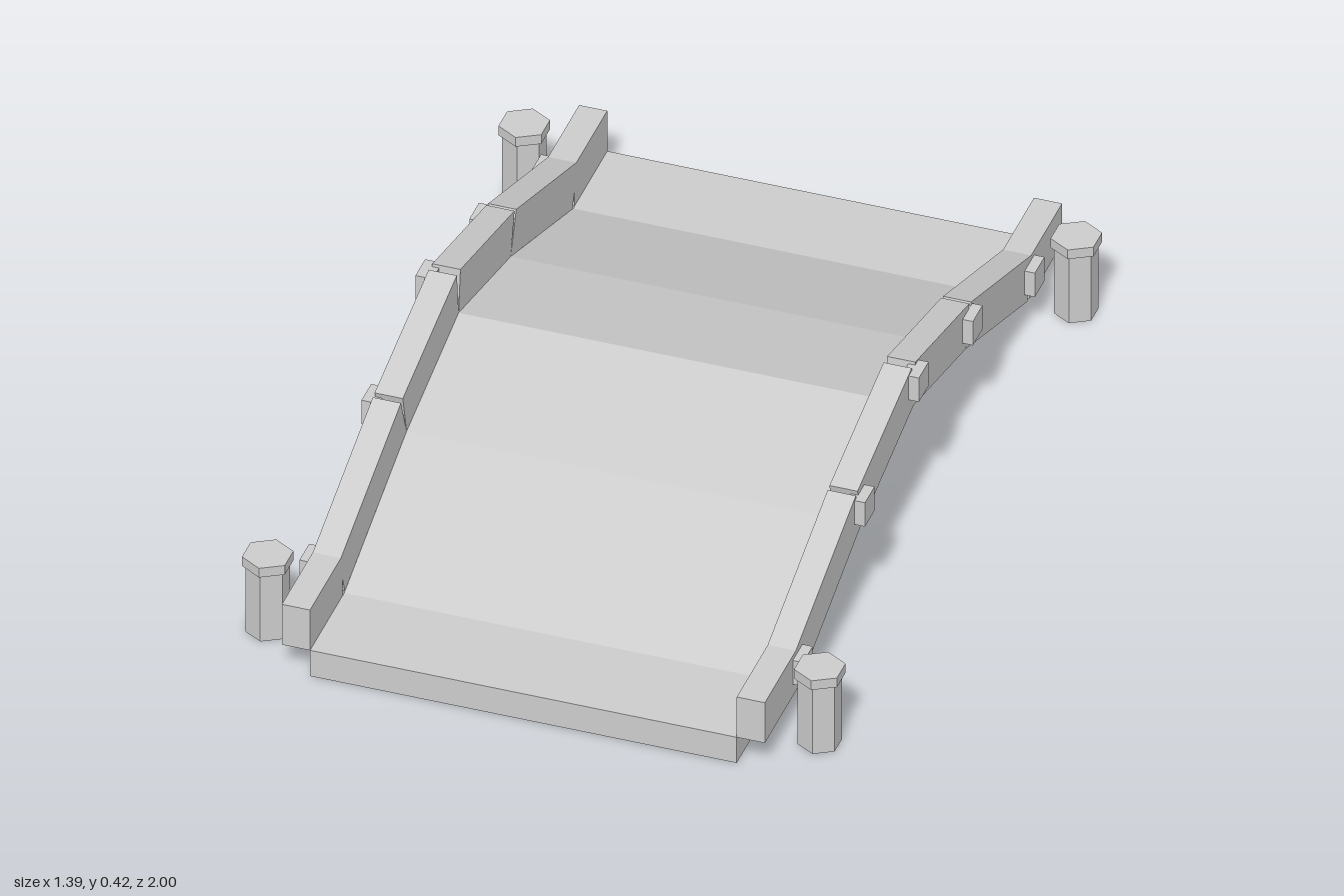
import * as THREE from 'three';

const stone = new THREE.MeshStandardMaterial({ color: 0xcccccc });
stone.name = 'light grey';

// Extrudes a [z, y] outline across x, from x - width / 2 to x + width / 2
function slab(name, outline, width, x) {
  const shape = new THREE.Shape(outline.map(([z, y]) => new THREE.Vector2(z, y)));
  const geometry = new THREE.ExtrudeGeometry(shape, { depth: width, bevelEnabled: false });
  geometry.translate(0, 0, -width / 2);
  geometry.rotateY(-Math.PI / 2);
  const mesh = new THREE.Mesh(geometry, stone);
  mesh.name = name;
  mesh.position.x = x;
  return mesh;
}

const flipZ = (points) => points.map(([z, y]) => [-z, y]).reverse();

// Hexagonal post with a wider cap
function makePost(x, z) {
  const post = new THREE.Group();
  post.name = 'post';
  const shaft = new THREE.Mesh(new THREE.CylinderGeometry(0.05, 0.05, 0.18, 6).toNonIndexed(), stone);
  shaft.name = 'postShaft';
  shaft.position.y = 0.09;
  const cap = new THREE.Mesh(new THREE.CylinderGeometry(0.058, 0.058, 0.025, 6).toNonIndexed(), stone);
  cap.name = 'postCap';
  cap.position.y = 0.1925;
  for (const part of [shaft, cap]) part.geometry.computeVertexNormals();
  post.add(shaft, cap);
  post.position.set(x, 0, z);
  return post;
}

export function createModel() {
  const bridge = new THREE.Group();
  bridge.name = 'bridge';

  // Arched deck
  const top = [[1, 0.07], [0.77, 0.07], [0.35, 0.225]];
  const bottom = [[0, 0.25], [0.365, 0.155], [0.785, 0], [1, 0]];
  bridge.add(slab('deck', [
    ...top, [0, 0.31], ...flipZ(top), ...flipZ(bottom), ...bottom.slice(1),
  ], 1, 0));

  // Straight rail pieces with square ends, leaving small notches at the joints
  const railPieces = [
    [[1, 0.07], [1, 0.18], [0.78, 0.18], [0.78, 0.07]],
    [[0.765, 0.072], [0.803, 0.176], [0.388, 0.328], [0.35, 0.225]],
    [[0.35, 0.225], [0.376, 0.332], [0.012, 0.42], [0, 0.31]],
  ];
  const clips = [[0.78, 0.135], [0.363, 0.287], [0, 0.38]];

  for (const side of [-1, 1]) {
    for (const end of [-1, 1]) {
      for (const piece of railPieces) {
        bridge.add(slab('rail', end > 0 ? piece : flipZ(piece), 0.066, side * 0.533));
      }
      // Square clips on the outside of each joint
      for (const [z, y] of clips) {
        if (z === 0 && end < 0) continue;
        const clip = new THREE.Mesh(new THREE.BoxGeometry(0.04, 0.065, 0.065), stone);
        clip.name = 'railClip';
        clip.position.set(side * 0.57, y, end * z);
        bridge.add(clip);
      }
      bridge.add(makePost(side * 0.647, end * 0.863));
    }
  }
  return bridge;
}
